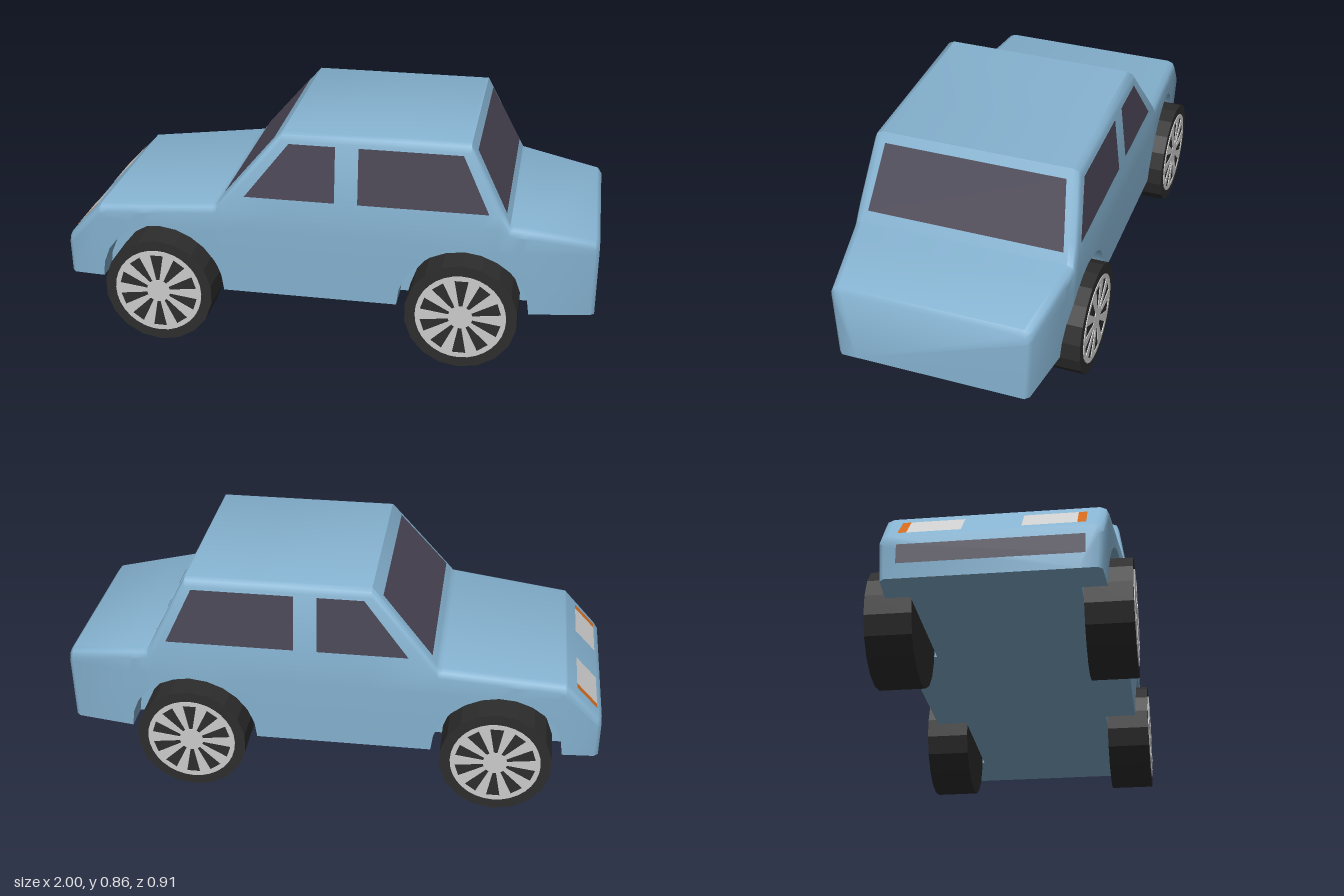
import * as THREE from 'three';
import { toCreasedNormals } from 'three/addons/utils/BufferGeometryUtils.js';

const FLOOR = 0.21, WHEEL_R = 0.208, ARCH_R = 0.243, WELL_Z = 0.285;
const WHEEL_X = [-0.623, 0.52];

const material = (color, extra = {}) => new THREE.MeshStandardMaterial({ color, ...extra });
const paint = material(0x86b3d1);
const glass = material(0x4a4655, { side: THREE.DoubleSide });
const lamp = material(0xcccccc, { side: THREE.DoubleSide });
const orange = material(0xd0681c, { side: THREE.DoubleSide });
const rubber = material(0x2d2d2d, { flatShading: true });
const metal = material(0xcccccc);

// Height of the outline and half width of the plan along the car
const OUTLINE = [[-1, 0.365], [-0.86, 0.512], [-0.4, 0.56], [-0.15, 0.855], [0.53, 0.855], [0.68, 0.56], [0.985, 0.508], [1, 0.49]];
const PLAN = [[-1, 0.358], [-0.985, 0.373], [-0.4, 0.413], [0.68, 0.413], [0.985, 0.365], [1, 0.35]];

function lookup(table, x) {
  for (let i = 1; i < table.length; i++) {
    const [x0, v0] = table[i - 1], [x1, v1] = table[i];
    if (x <= x1) return v0 + (v1 - v0) * (x - x0) / (x1 - x0);
  }
  return table[table.length - 1][1];
}
const topAt = (x) => lookup(OUTLINE, x);

// Half width of the side: tucked in below, leaning in above the belt line
const sideAt = (x, y) => lookup(PLAN, x)
  - Math.max(0, 0.44 - y) * 0.045 - Math.max(0, y - 0.55) * 0.115;

// Lower edge of the side: the floor, or the curve of a wheel arch
function lowerEdge(x) {
  let y = FLOOR;
  for (const cx of WHEEL_X) {
    const d = ARCH_R * ARCH_R - (x - cx) ** 2;
    if (d > 1e-6) y = Math.max(y, FLOOR + Math.sqrt(d));
  }
  return y;
}

// Cross-section ring: wheel well, side, rounded shoulder, then mirrored
function section(x) {
  const top = topAt(x), low = lowerEdge(x), shoulder = top - 0.03;
  const belt = Math.min(0.55, shoulder - 0.003), mid = Math.min(0.46, belt - 0.003);
  const w = sideAt(x, shoulder);
  const half = [
    [FLOOR, WELL_Z], [low, WELL_Z], [low, sideAt(x, low)],
    [mid, sideAt(x, mid)], [belt, sideAt(x, belt)], [shoulder, w],
    [top - 0.009, w - 0.009], [top, w - 0.03],
  ];
  return [...half, ...half.map(([y, z]) => [y, -z]).reverse()].map(([y, z]) => [x, y, z]);
}

function bodyGeometry() {
  const xs = [...OUTLINE, ...PLAN].map((p) => p[0]);
  for (const cx of WHEEL_X) {
    for (let i = 0; i <= 12; i++) xs.push(cx - ARCH_R * Math.cos(i * Math.PI / 12));
  }
  const stations = [...new Set(xs)].sort((a, b) => a - b);
  const rings = stations.map(section), n = rings[0].length, last = rings.length - 1;
  const index = [];
  for (let i = 0; i < last; i++) {
    for (let j = 0; j < n; j++) {
      const k = (j + 1) % n, a = i * n, b = a + n;
      index.push(a + j, b + j, b + k, a + j, b + k, a + k);
    }
  }
  for (let j = 1; j < n - 1; j++) {
    index.push(0, j, j + 1, last * n, last * n + j + 1, last * n + j);
  }
  const geometry = new THREE.BufferGeometry();
  geometry.setAttribute('position', new THREE.Float32BufferAttribute(rings.flat(2), 3));
  geometry.setIndex(index);
  return toCreasedNormals(geometry, 0.85);
}

function add(parent, name, geometry, mat) {
  const mesh = new THREE.Mesh(geometry, mat);
  mesh.name = name;
  parent.add(mesh);
  return mesh;
}

// Flat four-cornered panel
function panel(parent, name, corners, mat) {
  const geometry = new THREE.BufferGeometry();
  geometry.setAttribute('position', new THREE.Float32BufferAttribute(corners.flat(), 3));
  geometry.setIndex([0, 1, 2, 0, 2, 3]);
  geometry.computeVertexNormals();
  add(parent, name, geometry, mat);
}

// Rim face: a disc with ten wedge-shaped openings
function rimGeometry() {
  const shape = new THREE.Shape().absarc(0, 0, 0.167, 0, Math.PI * 2);
  const polar = (r, a) => new THREE.Vector2(r * Math.cos(a), r * Math.sin(a));
  for (let i = 0; i < 10; i++) {
    const a = (i + 0.5) * Math.PI / 5;
    shape.holes.push(new THREE.Path([
      polar(0.045, a - 0.14), polar(0.15, a - 0.17), polar(0.15, a + 0.17), polar(0.045, a + 0.14),
    ]));
  }
  return new THREE.ExtrudeGeometry(shape, { depth: 0.005, bevelEnabled: false, curveSegments: 16 });
}

function createWheel(rim) {
  const wheel = new THREE.Group();
  const tyre = add(wheel, 'tyre', new THREE.CylinderGeometry(WHEEL_R, WHEEL_R, 0.163, 18), rubber);
  tyre.rotation.x = Math.PI / 2;
  add(wheel, 'rim', rim, metal).position.z = 0.0795;
  return wheel;
}

export function createModel() {
  const car = new THREE.Group();
  car.name = 'car';
  add(car, 'body', bodyGeometry(), paint);

  // Windscreen and rear window
  const screen = (name, x0, x1, push) => panel(car, name, [
    [x0, 0.365], [x0, -0.365], [x1, -0.335], [x1, 0.335],
  ].map(([x, z]) => [x + push, topAt(x) + 0.003, z]), glass);
  screen('windscreen', -0.37, -0.185, -0.003);
  screen('rearWindow', 0.662, 0.548, 0.003);

  for (const s of [1, -1]) {
    // Side windows
    const sideWindow = (name, corners) => panel(car, name,
      corners.map(([x, y]) => [x, y, s * (sideAt(x, y) + 0.003)]), glass);
    sideWindow('frontSideWindow', [[-0.29, 0.605], [0.045, 0.605], [0.045, 0.815], [-0.125, 0.815]]);
    sideWindow('rearSideWindow', [[0.13, 0.605], [0.605, 0.605], [0.505, 0.815], [0.13, 0.815]]);

    // Lamps on the sloping nose
    const noseLamp = (name, z0, z1, mat) => panel(car, name,
      [[-0.98, z0], [-0.98, z1], [-0.9, z1], [-0.9, z0]]
        .map(([x, z]) => [x - 0.002, topAt(x) + 0.003, s * z]), mat);
    noseLamp('headlight', 0.1, 0.283, lamp);
    noseLamp('indicator', 0.283, 0.312, orange);
  }

  // Grille
  panel(car, 'grille', [[0.265, 0.31], [0.265, -0.31], [0.335, -0.31], [0.335, 0.31]]
    .map(([y, z]) => [-1.002, y, z]), glass);

  // Wheels
  const rim = rimGeometry();
  WHEEL_X.forEach((x, i) => {
    for (const s of [1, -1]) {
      const wheel = createWheel(rim);
      wheel.name = i === 0 ? 'frontWheel' : 'rearWheel';
      wheel.position.set(x, WHEEL_R, s * 0.37);
      if (s < 0) wheel.rotation.y = Math.PI;
      car.add(wheel);
    }
  });
  return car;
}
